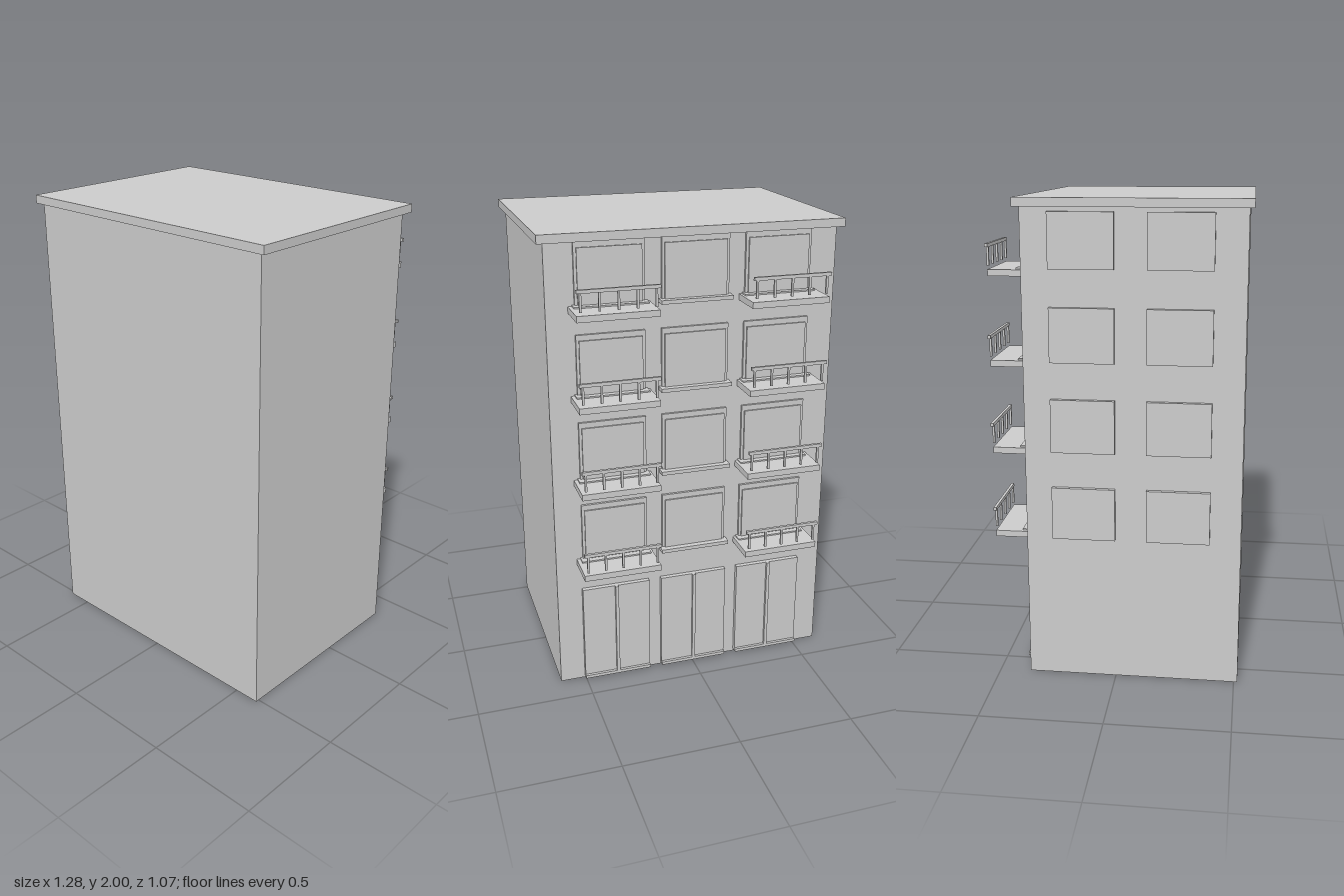
import * as THREE from 'three';

const material = new THREE.MeshStandardMaterial({ color: 0xcccccc, flatShading: true });

// Box given by its min and max on each axis
function block(name, [x0, x1], [y0, y1], [z0, z1]) {
  const mesh = new THREE.Mesh(new THREE.BoxGeometry(x1 - x0, y1 - y0, z1 - z0), material);
  mesh.name = name;
  mesh.position.set((x0 + x1) / 2, (y0 + y1) / 2, (z0 + z1) / 2);
  return mesh;
}

const span = (centre, width) => [centre - width / 2, centre + width / 2];

const WALL = -0.37;        // facade plane
const INNER = WALL + 0.01; // parts are sunk slightly into the wall
const COLUMNS = [-0.355, 0, 0.355];

// Street-level bay: glazed panel, central mullion and threshold
function shopBay(x) {
  const g = new THREE.Group();
  g.name = 'shopBay';
  g.add(
    block('shopPanel', span(x, 0.3), [0.015, 0.455], [-0.39, INNER]),
    block('shopMullion', span(x, 0.014), [0.015, 0.455], [-0.402, INNER]),
    block('shopThreshold', span(x, 0.3), [0.012, 0.026], [-0.402, INNER])
  );
  return g;
}

// Upper window: frame, raised pane and sill
function facadeWindow(x, y) {
  const g = new THREE.Group();
  g.name = 'facadeWindow';
  g.add(
    block('windowFrame', span(x, 0.285), [y, y + 0.258], [-0.381, INNER]),
    block('windowPane', span(x, 0.262), [y + 0.008, y + 0.235], [-0.388, INNER]),
    block('windowSill', span(x, 0.305), [y - 0.006, y + 0.01], [-0.413, INNER])
  );
  return g;
}

// Balcony: slab with a front railing on five posts
function balcony(x, y) {
  const g = new THREE.Group();
  g.name = 'balcony';
  g.add(
    block('balconySlab', span(x, 0.332), [y - 0.022, y + 0.004], [-0.525, INNER]),
    block('railing', span(x, 0.332), [y + 0.092, y + 0.106], [-0.534, -0.522])
  );
  for (let i = -2; i <= 2; i++) {
    g.add(block('railingPost', span(x + i * 0.075, 0.009), [y + 0.018, y + 0.094], span(-0.525, 0.009)));
  }
  return g;
}

export function createModel() {
  const building = new THREE.Group();
  building.name = 'apartmentBuilding';

  building.add(
    block('walls', [-0.613, 0.613], [0, 1.97], [WALL, 0.515]),
    block('roofSlab', [-0.64, 0.64], [1.965, 2], [-0.394, 0.534])
  );

  COLUMNS.forEach((x) => building.add(shopBay(x)));

  // Four storeys above the shops
  for (let floor = 0; floor < 4; floor++) {
    const y = 0.597 + floor * 0.37;
    COLUMNS.forEach((x) => building.add(facadeWindow(x, y)));
    [-0.357, 0.357].forEach((x) => building.add(balcony(x, y)));
    [-0.13, 0.258].forEach((z) =>
      building.add(block('sideWindow', [-0.631, -0.6], [y + 0.02, y + 0.24], span(z, 0.26)))
    );
  }
  return building;
}
